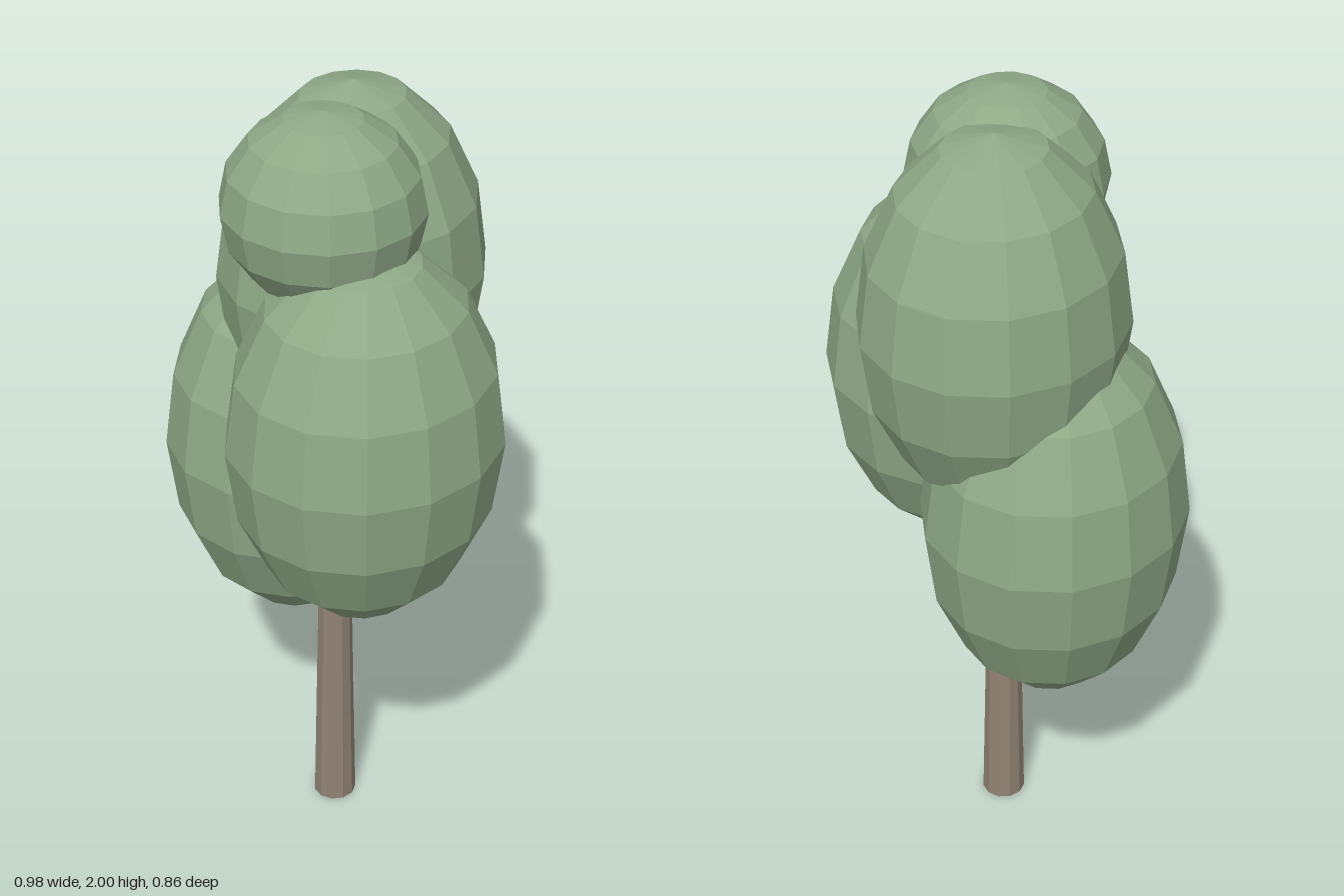
import * as THREE from 'three';

export function createModel() {
  const tree = new THREE.Group();
  tree.name = 'tree';

  const leafGreen = new THREE.MeshStandardMaterial({ color: 0x8fa987, flatShading: true });
  leafGreen.name = 'leafGreen';
  const barkBrown = new THREE.MeshStandardMaterial({ color: 0x918474, flatShading: true });
  barkBrown.name = 'barkBrown';

  // Tapered trunk, running up inside the foliage
  const trunk = new THREE.Mesh(new THREE.CylinderGeometry(0.032, 0.054, 1.2, 11), barkBrown);
  trunk.name = 'trunk';
  trunk.position.set(-0.004, 0.6, -0.006);
  tree.add(trunk);

  // Egg-shaped foliage clumps: name, centre, radii, turn about y
  const clumps = [
    ['lowerRightFoliage', [-0.18, 1.03, -0.07], [0.31, 0.5, 0.335], 0],
    ['frontLeftFoliage', [0.178, 1.25, 0.097], [0.312, 0.475, 0.338], 0.08],
    ['backFoliage', [-0.04, 1.525, -0.108], [0.305, 0.46, 0.327], 0],
    ['topFoliage', [0.037, 1.775, 0.08], [0.234, 0.225, 0.23], 0.1],
  ];
  for (const [name, centre, radii, turn] of clumps) {
    const geometry = new THREE.SphereGeometry(1, 14, 8);
    geometry.rotateY(turn);
    geometry.scale(...radii);
    const clump = new THREE.Mesh(geometry, leafGreen);
    clump.name = name;
    clump.position.set(...centre);
    tree.add(clump);
  }

  return tree;
}
